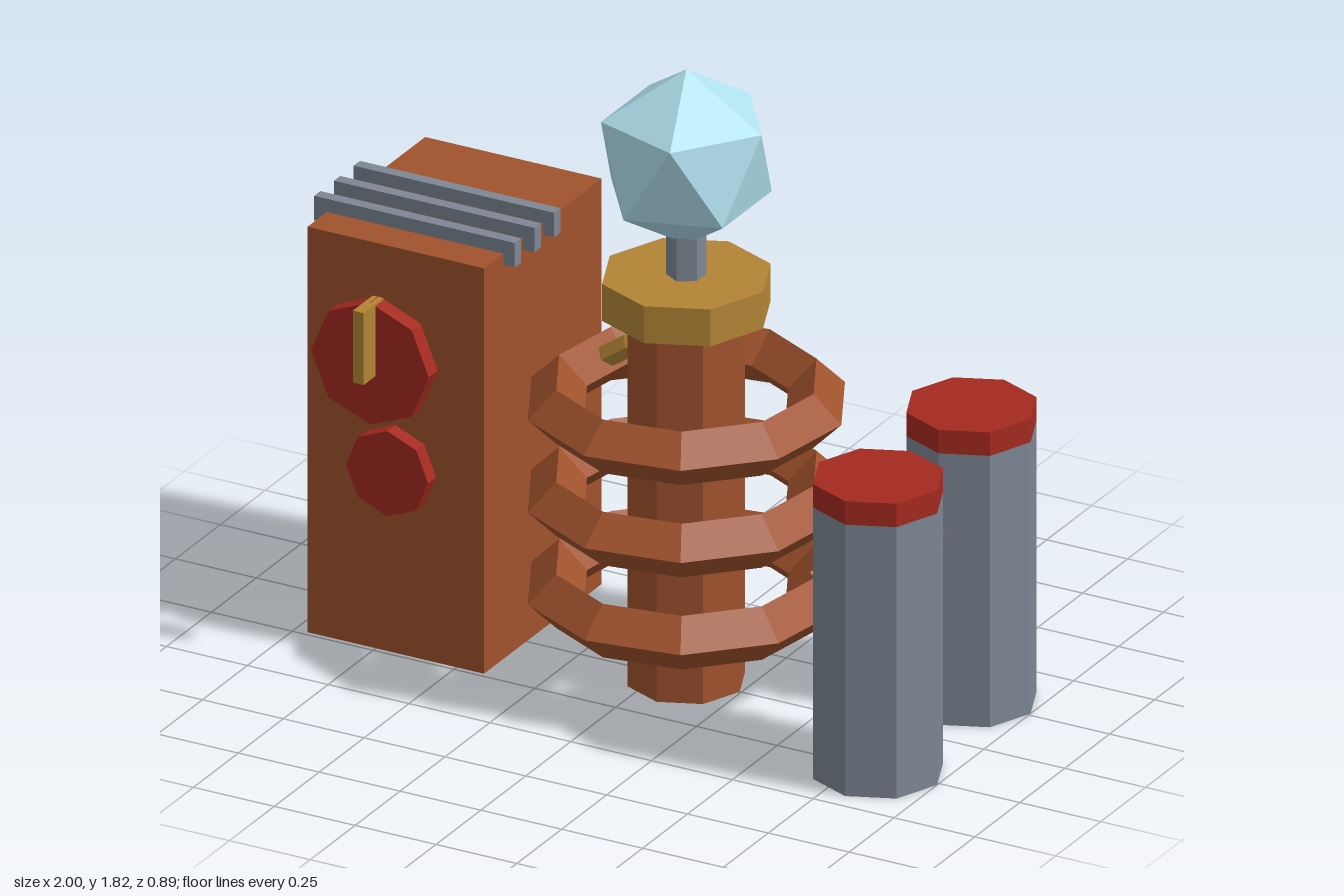
import * as THREE from 'three';

const mat = (color, side = THREE.FrontSide) =>
  new THREE.MeshStandardMaterial({ color, flatShading: true, side });
const copper = mat(0xa0522d);
const steel = mat(0x7d8794);
const red = mat(0xa52a20);
const brass = mat(0xb38535, THREE.DoubleSide);
const crystalBlue = mat(0xb0e0ee);

export function createModel() {
  const model = new THREE.Group();

  const add = (name, geometry, material, x, y, z) => {
    const mesh = new THREE.Mesh(geometry, material);
    mesh.name = name;
    mesh.position.set(x, y, z);
    model.add(mesh);
    return mesh;
  };
  // Upright prism given by its bottom and top heights
  const prism = (name, r, y0, y1, sides, material, x, z) =>
    add(name, new THREE.CylinderGeometry(r, r, y1 - y0, sides), material, x, (y0 + y1) / 2, z);

  // Cabinet with cooling fins on its roof
  const cabX = -0.688;
  add('cabinet', new THREE.BoxGeometry(0.546, 1.21, 0.655), copper, cabX, 0.605, -0.0925);
  for (const z of [-0.11, 0, 0.11]) {
    add('coolingFin', new THREE.BoxGeometry(0.62, 0.073, 0.035), steel, -0.69, 1.213, z);
  }

  // Dials on the cabinet front, and the lever
  const dial = (name, r, depth, y, z) =>
    add(name, new THREE.CylinderGeometry(r, r, depth, 8).rotateX(Math.PI / 2), red, -0.69, y, z);
  dial('largeDial', 0.182, 0.05, 0.92, 0.35);
  dial('smallDial', 0.127, 0.046, 0.553, 0.257);
  add('lever', new THREE.BoxGeometry(0.033, 0.215, 0.11), brass, -0.69, 0.994, 0.385);

  // Central column, collar, stem and crystal
  const colX = 0.08;
  prism('column', 0.165, 0, 1.1, 8, copper, colX, 0);
  prism('collar', 0.237, 1.1, 1.21, 8, brass, colX, 0);
  prism('stem', 0.055, 1.21, 1.4, 6, steel, colX, 0);
  const crystal = new THREE.IcosahedronGeometry(0.26, 0);
  crystal.rotateZ(-Math.atan(2 / (1 + Math.sqrt(5)))); // one corner points straight up
  add('crystal', crystal, crystalBlue, colX, 1.56, 0);

  // Coil rings around the column
  for (const y of [0.28, 0.555, 0.83]) {
    const ring = new THREE.TorusGeometry(0.366, 0.08, 4, 10).rotateX(Math.PI / 2);
    add('coilRing', ring, copper, colX, y, 0).rotation.y = Math.PI / 20;
  }

  // Bent pipe from cabinet to column
  const path = new THREE.CurvePath();
  const bends = [[-0.405, 0.73, -0.093], [-0.14, 0.915, -0.09], [0.02, 0.925, -0.08]]
    .map((p) => new THREE.Vector3(...p));
  path.add(new THREE.LineCurve3(bends[0], bends[1]));
  path.add(new THREE.LineCurve3(bends[1], bends[2]));
  add('pipe', new THREE.TubeGeometry(path, 6, 0.033, 5), brass, 0, 0, 0);

  // Two tanks with lids and a brass clamp on the inner side
  for (const s of [-1, 1]) {
    const x = 0.817, z = 0.26 * s;
    prism('tank', 0.183, 0, 0.81, 8, steel, x, z);
    prism('tankLid', 0.183, 0.81, 0.88, 8, red, x, z);
    const arc = THREE.MathUtils.degToRad(100);
    const clamp = new THREE.TorusGeometry(0.175, 0.026, 4, 3, arc);
    clamp.rotateZ(-arc / 2).rotateX(Math.PI / 2); // arc centred on +x
    add('tankClamp', clamp, brass, x, 0.555, z).rotation.y = s * 0.75 * Math.PI;
  }

  return model;
}
